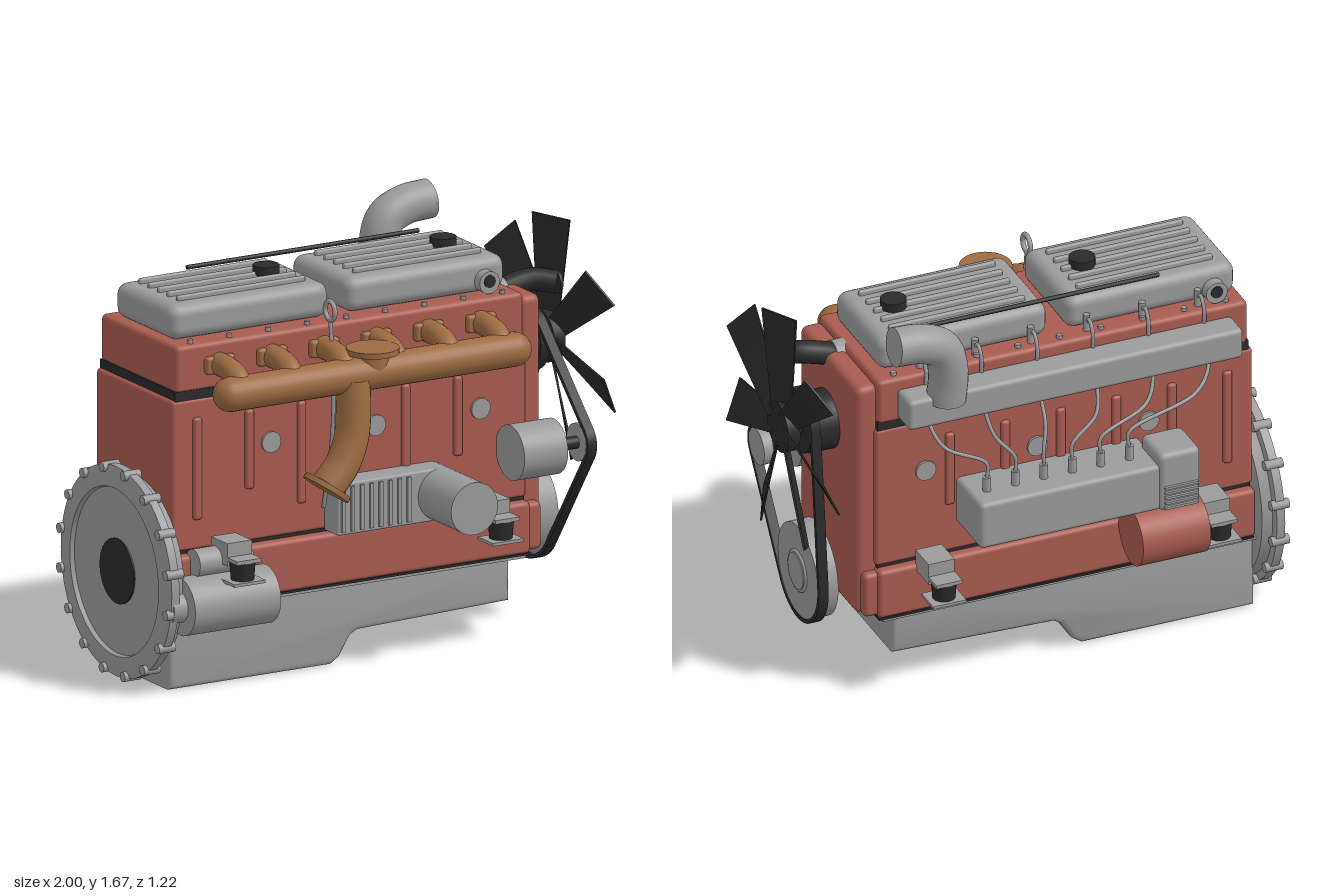
import * as THREE from 'three';
import { toCreasedNormals } from 'three/addons/utils/BufferGeometryUtils.js';
import { RoundedBoxGeometry } from 'three/addons/geometries/RoundedBoxGeometry.js';

const material = (name, color) => Object.assign(new THREE.MeshStandardMaterial({ color }), { name });

export function createModel() {
  const root = new THREE.Group();
  root.name = 'engine';
  const red = material('red paint', 0xa85b50);
  const grey = material('grey metal', 0x9b9b9b);
  const brown = material('brown cast iron', 0x9d6b42);
  const black = material('black', 0x2a2a2a);
  const midZ = -0.035; // crankshaft plane

  const add = (name, geo, mat, x = 0, y = 0, z = 0) => {
    const m = new THREE.Mesh(geo, mat);
    m.name = name;
    m.position.set(x, y, z);
    root.add(m);
    return m;
  };
  // box given by its limits on each axis, r = edge rounding
  const box = (name, mat, x0, x1, y0, y1, z0, z1, r = 0) => {
    const s = [x1 - x0, y1 - y0, z1 - z0];
    const geo = r ? new RoundedBoxGeometry(...s, 3, r) : new THREE.BoxGeometry(...s);
    return add(name, geo, mat, (x0 + x1) / 2, (y0 + y1) / 2, (z0 + z1) / 2);
  };
  // cylinder centred on a point along a main axis
  const cyl = (name, mat, axis, r, len, x, y, z, r2 = r, seg = 32) => {
    const geo = new THREE.CylinderGeometry(r, r2, len, seg);
    if (axis === 'x') geo.rotateZ(-Math.PI / 2);
    if (axis === 'z') geo.rotateX(Math.PI / 2);
    return add(name, geo, mat, x, y, z);
  };
  const tube = (name, mat, pts, r, seg = 24, sides = 16) => add(name, new THREE.TubeGeometry(
    new THREE.CatmullRomCurve3(pts.map(p => new THREE.Vector3(...p))), seg, r, sides), mat);
  const ring = (name, mat, r, t, x, y, z) => {
    const m = add(name, new THREE.TorusGeometry(r, t, 10, 28), mat, x, y, z);
    m.rotation.y = Math.PI / 2;
    return m;
  };

  // Block, head and timing cover
  box('crankcase', red, -0.9, 0.69, 0.34, 0.55, -0.36, 0.29, 0.02);
  box('crankcaseSeam', black, -0.89, 0.68, 0.53, 0.58, -0.32, 0.25);
  box('cylinderBlock', red, -0.9, 0.69, 0.56, 1.165, -0.325, 0.255, 0.015);
  box('headGasket', black, -0.885, 0.68, 1.16, 1.2, -0.32, 0.25);
  box('cylinderHead', red, -0.88, 0.68, 1.19, 1.38, -0.325, 0.25, 0.02);
  box('timingCover', red, 0.67, 0.765, 0.35, 1.36, -0.31, 0.24, 0.03);
  box('timingCoverFoot', red, 0.67, 0.745, 0.35, 0.54, -0.345, 0.28, 0.02);
  for (const side of [1, -1]) {
    const wall = midZ + side * 0.29;
    for (let i = 0; i < 6; i++) {
      const bottom = i % 2 ? 0.77 : 0.68;
      box('blockRib', red, -0.81 + i * 0.234, -0.772 + i * 0.234, bottom, 1.09, wall - 0.015, wall + 0.015, 0.012);
    }
    for (let i = 0; i < 3; i++) cyl('corePlug', grey, 'z', 0.042, 0.02, -0.46 + i * 0.47, 0.945, wall);
    for (let i = 0; i < 9; i++) cyl('headBolt', grey, 'y', 0.012, 0.02, -0.8 + i * 0.175, 1.385, midZ + side * 0.255, 0.012, 6);
  }

  // Oil pan, deep at the flywheel end
  const pan = new THREE.Shape();
  [[-0.89, 0.03], [-0.19, 0.03], [-0.16, 0.05], [-0.11, 0.13], [-0.07, 0.152], [0.595, 0.172], [0.595, 0.32], [-0.89, 0.32]]
    .forEach(([x, y], i) => (i ? pan.lineTo(x, y) : pan.moveTo(x, y)));
  const panGeo = new THREE.ExtrudeGeometry(pan, { depth: 0.535, bevelThickness: 0.02, bevelSize: 0.02, bevelSegments: 3 });
  add('oilPan', toCreasedNormals(panGeo, 0.6), grey, 0, 0, midZ - 0.267);
  box('oilPanFlange', grey, -0.9, 0.67, 0.325, 0.34, -0.355, 0.285);
  box('oilPanGasket', black, -0.89, 0.69, 0.337, 0.346, -0.362, 0.292);

  // Flywheel housing
  const bell = new THREE.LatheGeometry([[0, 0.9], [0.38, 0.9], [0.39, 0.94], [0.42, 0.945], [0.42, 0.98],
    [0.37, 0.99], [0.335, 0.99], [0.33, 0.972], [0, 0.972]].map(p => new THREE.Vector2(...p)), 56);
  bell.rotateZ(Math.PI / 2);
  add('flywheelHousing', toCreasedNormals(bell, 0.5), grey, 0, 0.43, midZ);
  cyl('flywheelBore', black, 'x', 0.13, 0.008, -0.974, 0.43, midZ);
  for (let i = 0; i < 16; i++) {
    const a = (i + 0.5) / 16 * Math.PI * 2;
    cyl('housingBolt', grey, 'x', 0.02, 0.075, -0.9625, 0.43 + 0.41 * Math.sin(a), midZ + 0.41 * Math.cos(a), 0.02, 12);
  }

  // Valve covers with ribs, caps and breathers
  for (const [x0, cap] of [[-0.86, -0.305], [-0.07, 0.49]]) {
    box('valveCover', grey, x0, x0 + 0.715, 1.38, 1.52, -0.26, 0.18, 0.045);
    for (let i = 0; i < 5; i++) {
      const z = -0.185 + i * 0.0715;
      box('coverRib', grey, x0 + 0.07, x0 + 0.645, 1.51, 1.54, z - 0.01, z + 0.01, 0.008);
    }
    cyl('fillerCap', black, 'y', 0.052, 0.035, cap, 1.545, -0.04, 0.052, 20);
  }
  for (const [x, z] of [[0.545, 0.18], [-0.76, -0.26]]) {
    const s = Math.sign(z);
    cyl('breather', grey, 'z', 0.045, 0.06, x, 1.43, z + s * 0.01);
    cyl('breatherBore', black, 'z', 0.025, 0.008, x, 1.435, z + s * 0.04);
  }
  cyl('fuelRail', black, 'x', 0.009, 1.04, -0.02, 1.535, -0.243, 0.009, 10);

  // Exhaust manifold and down pipe
  const log = new THREE.CapsuleGeometry(0.068, 1.275, 8, 24).rotateZ(Math.PI / 2);
  add('exhaustManifold', log, brown, -0.105, 1.215, 0.425);
  const ports = [0, 1, 2, 3, 4, 5].map(i => -0.69 + i * 0.2345);
  for (const x of ports) {
    box('exhaustFlange', brown, x - 0.065, x + 0.065, 1.255, 1.325, 0.24, 0.275, 0.012);
    tube('exhaustRunner', brown, [[x, 1.29, 0.25], [x, 1.285, 0.34], [x, 1.26, 0.4], [x, 1.21, 0.43]], 0.046);
  }
  cyl('manifoldNeck', brown, 'y', 0.065, 0.08, -0.105, 1.265, 0.425);
  cyl('manifoldOutletFlange', brown, 'y', 0.104, 0.022, -0.105, 1.305, 0.43);
  tube('downPipe', brown, [[-0.2, 1.2, 0.435], [-0.2, 1.1, 0.445], [-0.215, 0.98, 0.455], [-0.26, 0.88, 0.465], [-0.33, 0.8, 0.47]], 0.069);
  const flange = cyl('downPipeFlange', brown, 'y', 0.1, 0.022, -0.335, 0.795, 0.472);
  flange.rotation.z = -0.62;

  // Dipstick
  ring('dipstickHandle', grey, 0.037, 0.01, -0.225, 1.45, 0.31);
  tube('dipstickTube', grey, [[-0.225, 1.42, 0.31], [-0.225, 1.2, 0.335], [-0.225, 0.95, 0.325], [-0.225, 0.65, 0.26]], 0.008, 20, 8);

  // Oil cooler and filter
  box('oilCooler', grey, -0.22, 0.25, 0.555, 0.765, 0.25, 0.36, 0.01);
  for (let i = 0; i < 8; i++) box('coolerFin', grey, -0.205 + i * 0.042, -0.19 + i * 0.042, 0.57, 0.75, 0.35, 0.37);
  cyl('oilFilter', grey, 'z', 0.105, 0.36, 0.245, 0.66, 0.43);

  // Starter and alternator
  cyl('starterBody', grey, 'x', 0.115, 0.385, -0.717, 0.365, 0.33);
  cyl('starterNose', grey, 'x', 0.06, 0.08, -0.93, 0.365, 0.33);
  cyl('starterSolenoid', grey, 'x', 0.055, 0.24, -0.72, 0.525, 0.31);
  cyl('alternator', grey, 'x', 0.11, 0.195, 0.653, 0.78, 0.357);
  cyl('alternatorShaft', black, 'x', 0.025, 0.12, 0.8, 0.78, 0.357);

  // Rubber mounts on both sides
  for (const side of [1, -1]) for (const x of [-0.685, 0.475]) {
    const z = d => midZ + side * d;
    const part = (name, mat, w, y0, y1, a, b) =>
      box(name, mat, x - w, x + w, y0, y1, Math.min(z(a), z(b)), Math.max(z(a), z(b)));
    part('mountBracket', grey, 0.055, 0.52, 0.61, 0.31, 0.435);
    part('mountArm', grey, 0.055, 0.54, 0.555, 0.4, 0.51);
    part('mountPlate', grey, 0.07, 0.455, 0.467, 0.4, 0.515);
    cyl('rubberMount', black, 'y', 0.052, 0.085, x, 0.51, z(0.457), 0.045, 24);
  }

  // Intake manifold and elbow
  box('intakeManifold', grey, -0.81, 0.6, 1.205, 1.335, -0.445, -0.32, 0.02);
  tube('intakeElbow', grey, [[0.43, 1.3, -0.41], [0.425, 1.43, -0.42], [0.46, 1.54, -0.43], [0.55, 1.585, -0.435], [0.655, 1.595, -0.435]], 0.078, 32, 28);
  const mouth = cyl('elbowMouth', grey, 'x', 0.078, 0.01, 0.655, 1.595, -0.435);
  mouth.rotation.z = 0.1;

  // Injection pump with fuel lines
  box('injectionPump', grey, -0.42, 0.35, 0.68, 0.88, -0.56, -0.31, 0.02);
  box('pumpGovernor', grey, -0.575, -0.4, 0.675, 0.93, -0.57, -0.38, 0.025);
  for (let i = 0; i < 5; i++) box('governorLouvre', grey, -0.56, -0.42, 0.69 + i * 0.022, 0.7 + i * 0.022, -0.582, -0.56);
  ports.forEach((x, i) => {
    const px = -0.32 + i * 0.12;
    cyl('pumpOutlet', grey, 'y', 0.017, 0.07, px, 0.905, -0.46, 0.017, 10);
    tube('fuelLine', grey, [[px, 0.93, -0.46], [px, 1.0, -0.46], [x * 0.8 + px * 0.2, 1.09, -0.43], [x, 1.17, -0.38],
      [x, 1.25, -0.335], [x, 1.4, -0.335], [x, 1.44, -0.3], [x, 1.4, -0.27]], 0.008, 40, 8);
    cyl('injector', grey, 'y', 0.014, 0.08, x, 1.41, -0.275, 0.014, 10);
  });
  cyl('fuelFilter', red, 'x', 0.12, 0.285, -0.457, 0.55, -0.49);

  // Pulleys and belt around three wheels (u = -z, y, radius)
  cyl('crankPulley', grey, 'x', 0.195, 0.085, 0.847, 0.435, midZ, 0.195, 48);
  ring('crankHubRing', grey, 0.08, 0.008, 0.89, 0.435, midZ);
  cyl('crankHub', grey, 'x', 0.075, 0.15, 0.825, 0.435, midZ);
  cyl('alternatorPulley', grey, 'x', 0.075, 0.04, 0.872, 0.78, 0.357);
  cyl('waterPump', black, 'x', 0.12, 0.1, 0.815, 1.09, midZ);
  cyl('waterPumpPulley', black, 'x', 0.125, 0.04, 0.872, 1.1, midZ);
  const wheels = [[0.035, 0.435, 0.198], [-0.357, 0.78, 0.078], [0.035, 1.1, 0.125]];
  const loop = grow => {
    const pts = wheels.flatMap(([u, v, r]) => Array.from({ length: 64 }, (_, i) => {
      const a = i / 32 * Math.PI;
      return new THREE.Vector2(u + (r + grow) * Math.cos(a), v + (r + grow) * Math.sin(a));
    })).sort((a, b) => a.x - b.x || a.y - b.y);
    const half = list => list.reduce((h, p) => {
      while (h.length > 1 && h.at(-1).clone().sub(h.at(-2)).cross(p.clone().sub(h.at(-2))) <= 0) h.pop();
      return h.push(p), h;
    }, []).slice(0, -1);
    return [...half(pts), ...half([...pts].reverse())];
  };
  const beltShape = new THREE.Shape(loop(0.012));
  beltShape.holes.push(new THREE.Path(loop(-0.006)));
  const belt = new THREE.ExtrudeGeometry(beltShape, { depth: 0.04, bevelEnabled: false }).rotateY(Math.PI / 2);
  add('fanBelt', toCreasedNormals(belt, 0.6), black, 0.852);

  // Fan
  cyl('fanShaft', black, 'x', 0.05, 0.16, 0.88, 1.1, midZ);
  cyl('fanHub', black, 'x', 0.105, 0.05, 0.95, 1.1, midZ, 0.105, 28);
  for (let i = 0; i < 7; i++) {
    const blade = new THREE.BoxGeometry(0.008, 0.42, 1, 1, 6, 1);
    const p = blade.attributes.position;
    for (let k = 0; k < p.count; k++) {
      const t = p.getY(k) / 0.42 + 0.5; // widening and twisting toward the tip
      const w = p.getZ(k) * (0.09 + 0.085 * t), a = 0.55 - 0.1 * t, x = p.getX(k);
      p.setXYZ(k, x * Math.cos(a) + w * Math.sin(a), p.getY(k) + 0.275, w * Math.cos(a) - x * Math.sin(a));
    }
    blade.computeVertexNormals();
    add('fanBlade', blade, black, 0.957, 1.1, midZ).rotation.x = THREE.MathUtils.degToRad(3 + i * 360 / 7);
  }

  // Coolant hose
  cyl('thermostatOutlet', grey, 'x', 0.062, 0.05, 0.69, 1.32, 0.03);
  tube('coolantHose', black, [[0.69, 1.32, 0.03], [0.76, 1.345, 0.03], [0.84, 1.36, 0.045], [0.92, 1.35, 0.09]], 0.046);
  cyl('hoseEnd', black, 'x', 0.046, 0.012, 0.92, 1.35, 0.09);
  return root;
}
